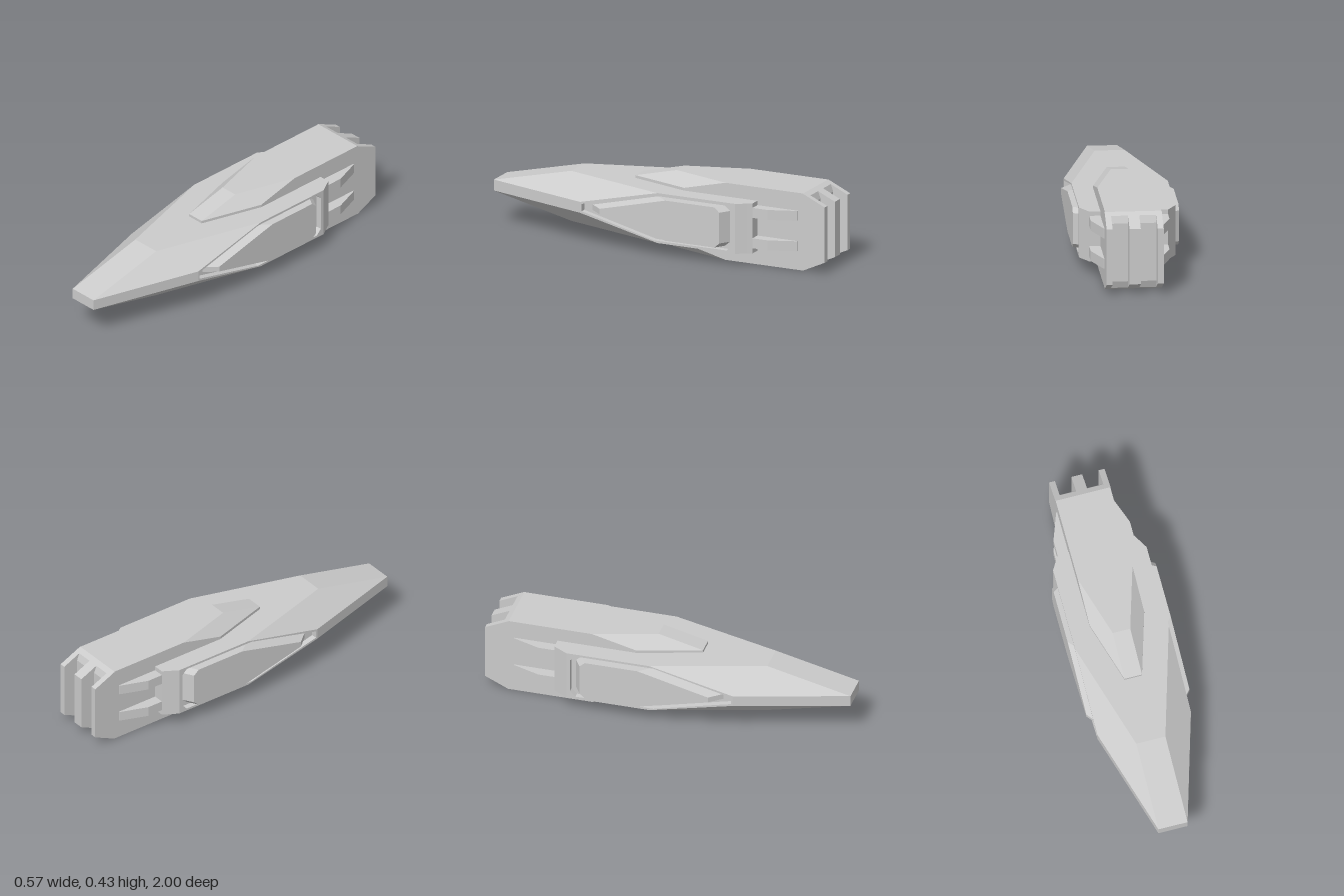
import * as THREE from 'three';
import { ConvexGeometry } from 'three/addons/geometries/ConvexGeometry.js';

const MID = 0.214; // height of the horizontal symmetry plane
const material = new THREE.MeshStandardMaterial({ color: 0xcccccc, flatShading: true });

function add(group, name, geometry) {
  const mesh = new THREE.Mesh(geometry, material);
  mesh.name = name;
  group.add(mesh);
}

// Convex solid mirrored in x and about the mid plane; points are [x, half height, z]
function symmetricSolid(points) {
  const all = [];
  for (const [x, h, z] of points)
    for (const sx of [-1, 1]) for (const sy of [-1, 1]) all.push(new THREE.Vector3(sx * x, MID + sy * h, z));
  return new ConvexGeometry(all);
}

// Convex solid from a plan outline [x, z] between two heights
function planSolid(outline, y0, y1) {
  return new ConvexGeometry(outline.flatMap(([x, z]) => [new THREE.Vector3(x, y0, z), new THREE.Vector3(x, y1, z)]));
}

// Closed side outline at a given x: upper [z, half height] points, mirrored below
function sideLoop(x, upper) {
  const at = (s) => ([z, h]) => new THREE.Vector3(x, MID + s * h, z);
  return [...upper.map(at(1)), ...[...upper].reverse().map(at(-1))];
}

// Skin between successive side loops, optionally closed by a cap on the last one
function skin(loops, side, cap) {
  const pos = [];
  const tri = (a, b, c) => {
    for (const p of side > 0 ? [a, b, c] : [a, c, b]) pos.push(side * p.x, p.y, p.z);
  };
  const n = loops[0].length;
  for (let k = 0; k < loops.length - 1; k++) {
    const a = loops[k], b = loops[k + 1];
    for (let i = 0; i < n; i++) {
      const j = (i + 1) % n;
      tri(a[i], b[j], a[j]);
      tri(a[i], b[i], b[j]);
    }
  }
  const last = loops[loops.length - 1];
  if (cap) for (let i = 1; i < n - 1; i++) tri(last[0], last[i + 1], last[i]);
  const g = new THREE.BufferGeometry();
  g.setAttribute('position', new THREE.Float32BufferAttribute(pos, 3));
  g.computeVertexNormals();
  return g;
}

export function createModel() {
  const model = new THREE.Group();
  model.name = 'spacecraft';

  // Main hull core, narrow enough to form the floor of the side pockets
  add(model, 'hullCore', symmetricSolid([
    [0.08, 0.03, 1], [0.08, 0.138, 0.54],
    [0.225, 0.03, 0.508], [0.225, 0.138, 0.048],
    [0.225, 0.138, -0.574], [0.21, 0.138, -0.6],
  ]));

  // Central spine body, up to the floor of the rear slots
  add(model, 'spineBody', symmetricSolid([
    [0.048, 0.153, 0.175], [0.048, 0.213, -0.07],
    [0.15, 0.153, -0.165], [0.15, 0.213, -0.41],
    [0.15, 0.213, -0.87], [0.15, 0.199, -0.9], [0.15, 0.16, -0.915],
  ]));

  // Three tail ribs separated by two vertical slots
  for (const [x0, x1] of [[-0.152, -0.12], [-0.03, 0.03], [0.12, 0.152]]) {
    const pts = [];
    for (const x of [x0, x1])
      for (const [h, z] of [[0.213, -0.87], [0.153, -1]])
        for (const s of [-1, 1]) pts.push(new THREE.Vector3(x, MID + s * h, z));
    add(model, 'tailRib', new ConvexGeometry(pts));
  }

  for (const side of [1, -1]) {
    const prefix = side > 0 ? 'left' : 'right';
    const pocket = [[0.39, 0.02], [-0.04, 0.126], [-0.47, 0.126], [-0.5, 0.096]];

    // Raised side frame with a pocket through it
    add(model, prefix + 'SideFrame', skin([
      sideLoop(0.225, [[0.508, 0.03], [0.048, 0.138], [-0.574, 0.138], [-0.574, 0.1]]),
      sideLoop(0.257, [[0.4, 0.03], [-0.06, 0.138], [-0.52, 0.138], [-0.52, 0.1]]),
      sideLoop(0.257, pocket),
      sideLoop(0.225, pocket),
    ], side, false));

    // Bevelled panel standing in the pocket
    add(model, prefix + 'SidePanel', skin([
      sideLoop(0.225, [[0.34, 0.015], [-0.05, 0.111], [-0.445, 0.111], [-0.475, 0.085]]),
      sideLoop(0.283, [[0.27, 0.015], [-0.12, 0.111], [-0.41, 0.111], [-0.44, 0.085]]),
    ], side, true));

    // Upper and lower wedge fins behind the hull
    for (const y of [0.105, 0.273]) {
      const outline = [[0.14, -0.56], [0.21, -0.56], [0.21, -0.69], [0.155, -0.84], [0.14, -0.84]];
      add(model, prefix + 'RearFin', planSolid(outline.map(([x, z]) => [side * x, z]), y, y + 0.055));
    }
  }
  return model;
}
